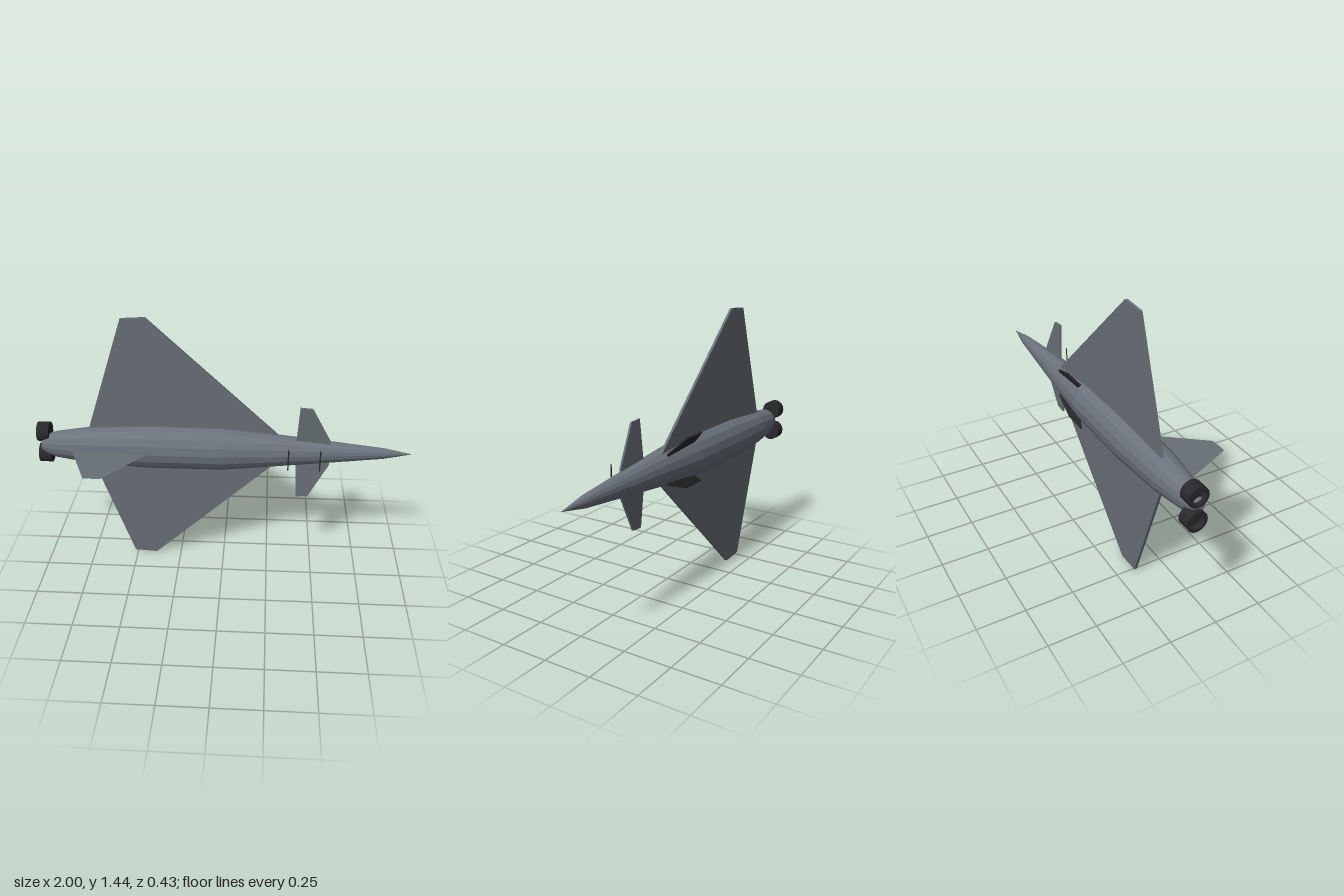
import * as THREE from 'three';

const flat = (name, color, side = THREE.FrontSide) => {
  const m = new THREE.MeshStandardMaterial({ color, flatShading: true, side });
  m.name = name;
  return m;
};

export function createModel() {
  const hull = flat('hull grey', 0x6c737d);
  const wingGrey = flat('wing grey', 0x676f75);
  const finGrey = flat('fin grey', 0x676f75, THREE.DoubleSide);
  const dark = flat('dark metal', 0x29282c, THREE.DoubleSide);
  const model = new THREE.Group();
  model.name = 'aircraft';
  const craft = new THREE.Group();
  craft.name = 'airframe';
  craft.position.y = 0.72;
  model.add(craft);

  const add = (name, geometry, material, x = 0, y = 0, z = 0) => {
    const mesh = new THREE.Mesh(geometry, material);
    mesh.name = name;
    mesh.position.set(x, y, z);
    craft.add(mesh);
    return mesh;
  };
  const lathe = (profile, sides) => new THREE.LatheGeometry(
    profile.map(([x, r]) => new THREE.Vector2(r, x)), sides);
  const outline = (pts, s = 1) => new THREE.Shape(pts.map(([x, y]) => new THREE.Vector2(x, y * s)));

  // Faceted fuselage, nose along +x, slightly flattened in depth
  const body = add('fuselage', lathe([
    [-0.98, 0], [-0.98, 0.035], [-0.95, 0.056], [-0.9, 0.074], [-0.72, 0.102], [-0.4, 0.12],
    [0, 0.118], [0.28, 0.09], [0.56, 0.061], [0.85, 0.03], [1, 0]], 16), hull, 0, 0, -0.126);
  body.rotation.z = -Math.PI / 2;
  body.scale.z = 0.8;

  // Mirrored pair of plates; points are [x, span from centreline]
  const platePair = (name, pts, thickness, material, z, tilt = 0) => {
    for (const s of [1, -1]) {
      const geo = new THREE.ExtrudeGeometry(outline(pts, s), { depth: thickness, bevelEnabled: false });
      geo.translate(0, 0, -thickness / 2);
      const mesh = add((s > 0 ? 'left ' : 'right ') + name, geo, material, 0, 0, z);
      mesh.rotation.x = s * tilt;
    }
  };
  platePair('main wing', [[0.29, 0.03], [0.29, 0.082], [-0.39, 0.72], [-0.515, 0.712],
    [-0.72, 0.1], [-0.74, 0.03]], 0.014, wingGrey, -0.15);
  platePair('canard', [[0.565, 0.03], [0.565, 0.072], [0.462, 0.265], [0.398, 0.27],
    [0.385, 0.03]], 0.01, wingGrey, -0.114, 0.055);
  platePair('ventral strake', [[0.27, 0.07], [0.27, 0.084], [0.12, 0.137], [-0.02, 0.137],
    [0.06, 0.07]], 0.009, dark, -0.15, -0.33);

  // Single thin fin on the +z side
  const fin = add('tail fin', new THREE.ShapeGeometry(outline([
    [-0.83, -0.08], [-0.8, -0.045], [-0.69, 0.212], [-0.6, 0.212], [-0.41, -0.03], [-0.41, -0.08]])), finGrey);
  fin.rotation.x = Math.PI / 2;

  // Twin exhaust nozzles, recessed at the rear
  for (const s of [1, -1]) {
    const nozzle = add(s > 0 ? 'left nozzle' : 'right nozzle', lathe([
      [-0.035, 0], [-0.035, 0.041], [-0.0, 0.041].map((v, i) => (i ? v : -0.065)),
      [-0.065, 0.053], [0, 0.053], [0, 0]], 16), dark, -0.935, s * 0.064, -0.147);
    nozzle.rotation.z = -Math.PI / 2;
  }

  // Thin dark cross bars ahead of the wing
  for (const x of [0.345, 0.51]) {
    add('cross bar', new THREE.BoxGeometry(0.007, 0.118, 0.003), dark, x, 0.004, -0.016);
  }
  return model;
}
